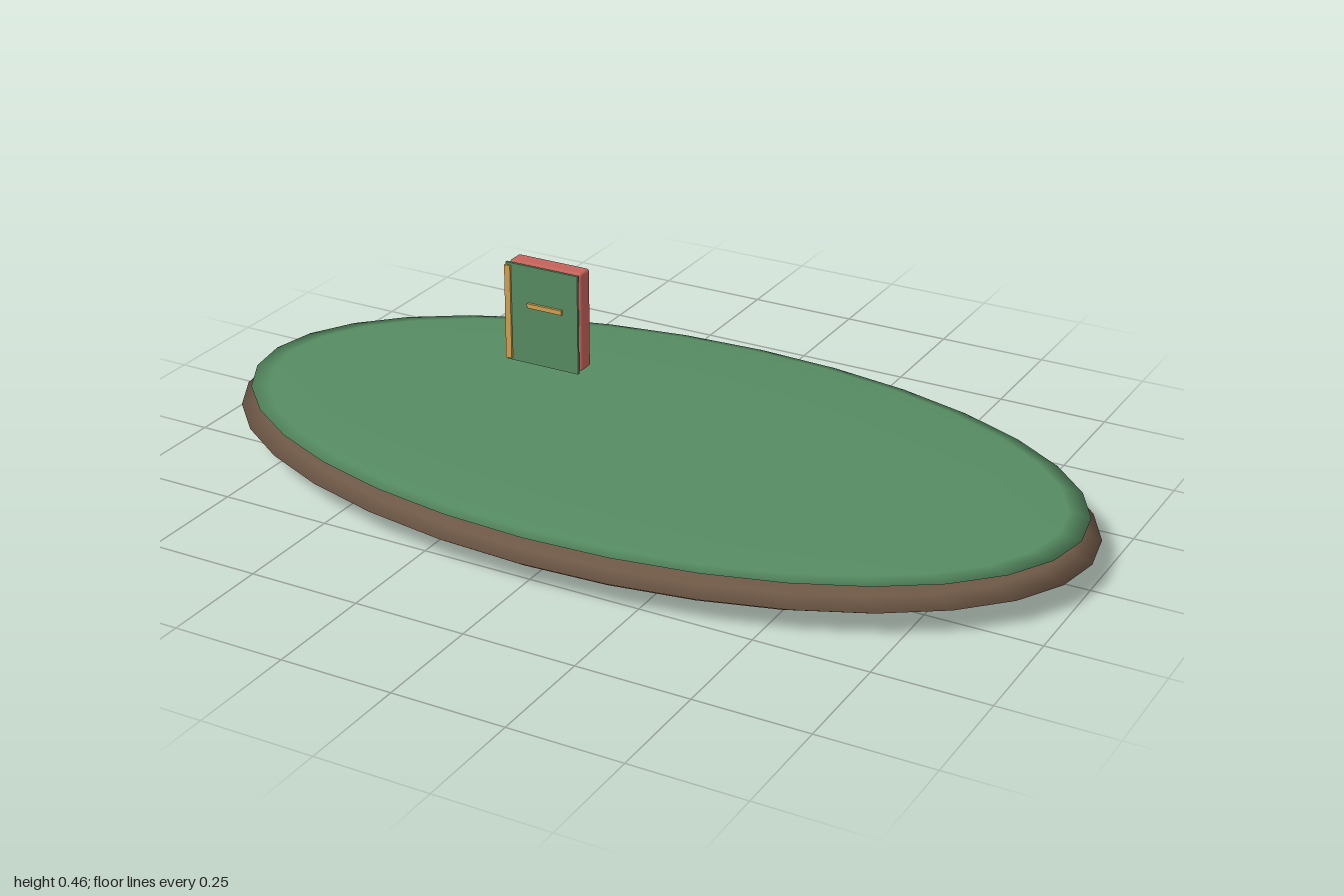
import * as THREE from 'three';
import { RoundedBoxGeometry } from 'three/addons/geometries/RoundedBoxGeometry.js';

function material(name, color) {
  const m = new THREE.MeshStandardMaterial({ color });
  m.name = name;
  return m;
}

export function createModel() {
  const group = new THREE.Group();
  const earth = material('earth brown', 0x6e5846);
  const grass = material('grass green', 0x568c62);
  const coverGreen = material('cover green', 0x568a62);
  const red = material('book red', 0xc4625a);
  const paper = material('paper cream', 0xe6d9b4);
  const gold = material('gold', 0xd0a050);

  const add = (name, geometry, mat, x, y, z) => {
    const mesh = new THREE.Mesh(geometry, mat);
    mesh.name = name;
    mesh.position.set(x, y, z);
    group.add(mesh);
    return mesh;
  };

  // Island: two flattened spheres, earth below and grass on top
  const disc = (name, mat, y, rx, ry, rz) =>
    add(name, new THREE.SphereGeometry(1, 32, 10), mat, 0, y, 0).scale.set(rx, ry, rz);
  disc('earthBase', earth, 0.058, 1, 0.058, 0.545);
  disc('grassTop', grass, 0.104, 0.975, 0.018, 0.523);

  // Floating book: block, pages, front cover and gold trim
  const bx = -0.243, by = 0.344;
  add('bookBlock', new RoundedBoxGeometry(0.175, 0.225, 0.039, 2, 0.006), red, bx, by, 0.002);
  add('pages', new THREE.BoxGeometry(0.158, 0.197, 0.01), paper, bx, by, 0.026);
  add('frontCover', new THREE.BoxGeometry(0.175, 0.225, 0.006), coverGreen, bx, by, 0.034);
  add('spineStrip', new THREE.BoxGeometry(0.014, 0.215, 0.005), gold, -0.324, by, 0.0405);
  add('titleBar', new THREE.BoxGeometry(0.085, 0.01, 0.006), gold, -0.234, 0.368, 0.04);

  return group;
}
